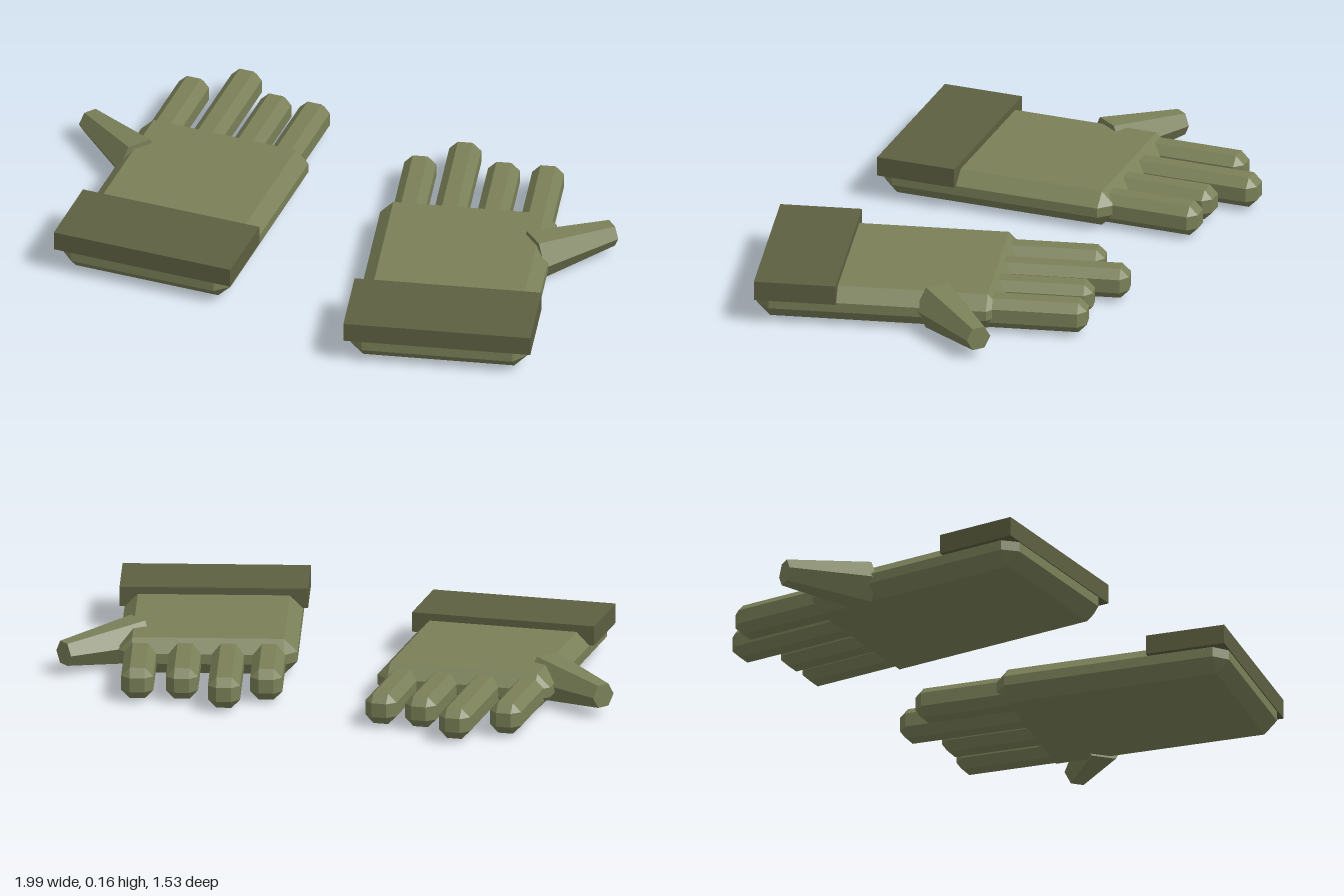
import * as THREE from 'three';
import { ConvexGeometry } from 'three/addons/geometries/ConvexGeometry.js';

// Box with every edge and corner cut flat; hx, hy, hz are half sizes
function chamferedBox(hx, hy, hz, c) {
  const points = [];
  for (const x of [-1, 1]) for (const y of [-1, 1]) for (const z of [-1, 1]) {
    points.push(
      new THREE.Vector3(x * hx, y * (hy - c), z * (hz - c)),
      new THREE.Vector3(x * (hx - c), y * hy, z * (hz - c)),
      new THREE.Vector3(x * (hx - c), y * (hy - c), z * hz)
    );
  }
  return new ConvexGeometry(points);
}

// Tapered six-sided thumb from base to tip, flat on top and bottom
function thumbGeometry(base, tip, rBase, rTip) {
  const across = new THREE.Vector3().subVectors(tip, base).cross(new THREE.Vector3(0, 1, 0)).normalize();
  const points = [];
  for (const [centre, r] of [[base, rBase], [tip, rTip]]) {
    for (let i = 0; i < 6; i++) {
      const t = (i * Math.PI) / 3;
      const p = centre.clone().addScaledVector(across, r * Math.cos(t));
      p.y += r * Math.sin(t);
      points.push(p);
    }
  }
  return new ConvexGeometry(points);
}

export function createModel() {
  const model = new THREE.Group();
  model.name = 'gloves';

  const fabric = new THREE.MeshStandardMaterial({ color: 0x7a8058, flatShading: true });
  fabric.name = 'olive fabric';
  const trim = new THREE.MeshStandardMaterial({ color: 0x5d6041, flatShading: true });
  trim.name = 'dark olive trim';

  // side: direction of the little finger along x; fingerTips: reach of each finger
  function makeGlove(name, side, x, z, fingerTips) {
    const glove = new THREE.Group();
    glove.name = name;
    glove.position.set(x, 0, z);
    glove.rotation.y = -0.113 * side;

    const add = (partName, geometry, material, px = 0, py = 0, pz = 0) => {
      const mesh = new THREE.Mesh(geometry, material);
      mesh.name = partName;
      mesh.position.set(px, py, pz);
      glove.add(mesh);
    };

    // Wrist cuff and palm
    add('cuff', new THREE.BoxGeometry(0.655, 0.07, 0.286), trim, 0, 0.125, 0);
    add('palm', chamferedBox(0.31, 0.0635, 0.427, 0.046), fabric, 0, 0.0715, -0.287);

    // Four fingers rooted inside the palm
    const fingerX = [-0.235, -0.08, 0.07, 0.213];
    const root = 0.64;
    fingerTips.forEach((tip, i) => {
      const half = (tip - root) / 2;
      add('finger' + (i + 1), chamferedBox(0.056, 0.055, half, 0.03), fabric,
        side * fingerX[i], 0.065, -(root + half));
    });

    // Thumb angled outward
    add('thumb', thumbGeometry(
      new THREE.Vector3(-0.25 * side, 0.077, -0.489),
      new THREE.Vector3(-0.502 * side, 0.075, -0.67),
      0.088, 0.046), fabric);

    model.add(glove);
  }

  makeGlove('rightGlove', 1, -0.542, 0.355, [1.015, 1.122, 1.015, 1.015]);
  makeGlove('leftGlove', -1, 0.54, 0.5825, [1.015, 1.015, 1.12, 1.015]);

  return model;
}
